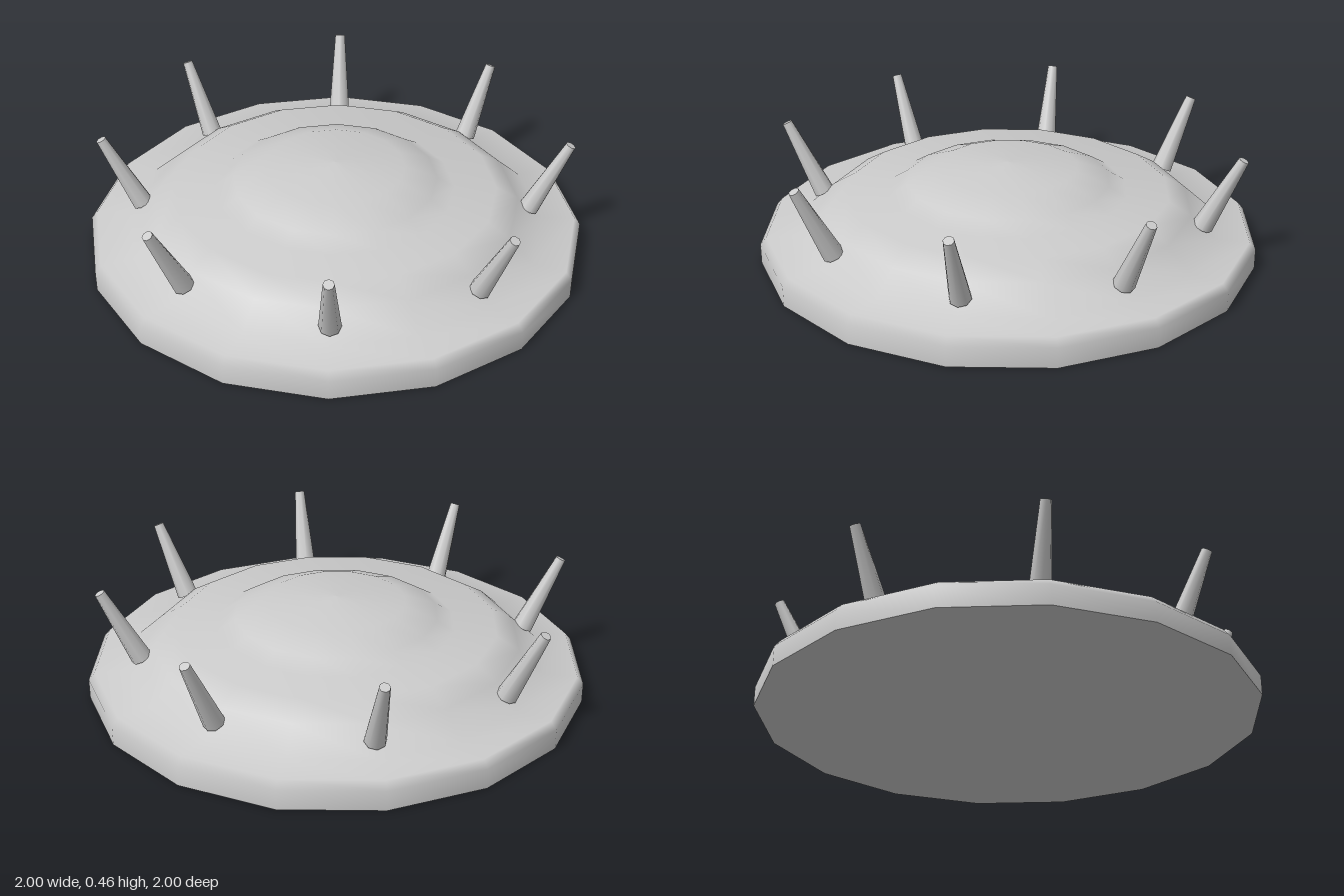
import * as THREE from 'three';

const SIDES = 16;
const SPIKES = 8;

export function createModel() {
  const model = new THREE.Group();
  const grey = new THREE.MeshStandardMaterial({ color: 0xcccccc });

  // Stepped body: rim, middle tier and low central dome, smooth around and up
  const profile = [
    [1, 0], [1, 0.08], [0.975, 0.11], [0.84, 0.11],
    [0.74, 0.2], [0.65, 0.253], [0.48, 0.253],
    [0.41, 0.297], [0.28, 0.347], [0, 0.365],
  ].map(([r, y]) => new THREE.Vector2(r, y));
  const body = new THREE.Mesh(new THREE.LatheGeometry(profile, SIDES), grey);
  body.name = 'body';
  model.add(body);

  // Flat underside, facing down
  const underside = new THREE.Mesh(new THREE.CircleGeometry(1, SIDES), grey);
  underside.name = 'underside';
  underside.rotation.x = Math.PI / 2;
  model.add(underside);

  // Ring of tapered spikes leaning outward
  const base = new THREE.Vector2(0.785, 0.16);
  const tip = new THREE.Vector2(0.93, 0.455);
  const lean = tip.clone().sub(base);
  const spikeGeometry = new THREE.CylinderGeometry(0.021, 0.043, lean.length(), 8);
  spikeGeometry.rotateZ(-Math.atan2(lean.x, lean.y));
  spikeGeometry.translate((base.x + tip.x) / 2, (base.y + tip.y) / 2, 0);

  const spikes = new THREE.Group();
  spikes.name = 'spikes';
  for (let i = 0; i < SPIKES; i++) {
    const spike = new THREE.Mesh(spikeGeometry, grey);
    spike.name = 'spike' + (i + 1);
    spike.rotation.y = (i / SPIKES) * Math.PI * 2;
    spikes.add(spike);
  }
  model.add(spikes);

  return model;
}
